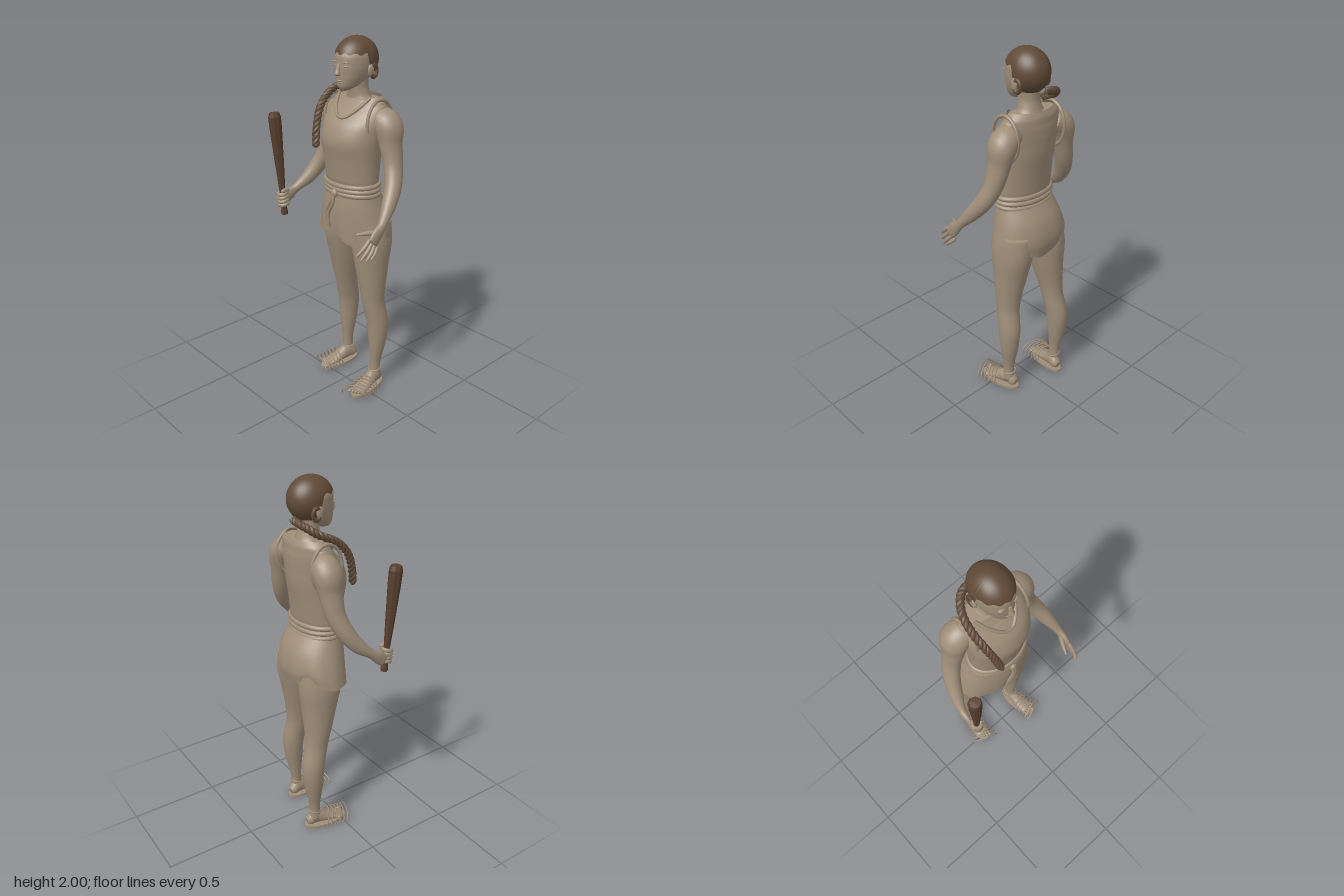
import * as THREE from 'three';

const V = (x, y, z) => new THREE.Vector3(x, y, z);
const mat = (name, color) => {
  const m = new THREE.MeshStandardMaterial({ color, side: THREE.DoubleSide });
  m.name = name;
  return m;
};

// Smooth loft through rows of [x, y, z, radiusA, radiusB].
// level = true keeps every ring horizontal, otherwise rings follow the path.
function loft(rows, { level = false, caps = true, steps = 5, sides = 28, warp = null } = {}) {
  const path = new THREE.CatmullRomCurve3(rows.map(r => V(r[0], r[1], r[2])));
  const size = new THREE.CatmullRomCurve3(rows.map(r => V(r[3], r[4], 0)));
  const n = (rows.length - 1) * steps, pos = [], idx = [];
  for (let i = 0; i <= n; i++) {
    const t = i / n, c = path.getPoint(t), s = size.getPoint(t);
    const T = level ? V(0, 1, 0) : path.getTangent(t);
    const U = V(1, 0, 0).addScaledVector(T, -T.x).normalize(), W = T.clone().cross(U);
    for (let j = 0; j < sides; j++) {
      const a = j / sides * Math.PI * 2;
      const p = c.clone().addScaledVector(U, Math.cos(a) * s.x).addScaledVector(W, Math.sin(a) * s.y);
      if (warp) warp(p, t, a);
      pos.push(p.x, p.y, p.z);
      if (i < n) {
        const k = (j + 1) % sides, b = i * sides;
        idx.push(b + j, b + k, b + sides + j, b + k, b + sides + k, b + sides + j);
      }
    }
  }
  if (caps) [0, n].forEach(i => {
    const c = path.getPoint(i / n), m = pos.length / 3;
    pos.push(c.x, c.y, c.z);
    for (let j = 0; j < sides; j++) {
      const a = i * sides + j, b = i * sides + (j + 1) % sides;
      idx.push(m, i ? a : b, i ? b : a);
    }
  });
  const g = new THREE.BufferGeometry();
  g.setAttribute('position', new THREE.Float32BufferAttribute(pos, 3));
  g.setIndex(idx);
  g.computeVertexNormals();
  return g;
}

const tube = (pts, r, seg = 24) =>
  new THREE.TubeGeometry(new THREE.CatmullRomCurve3(pts.map(p => V(...p))), seg, r, 8);

export function createModel() {
  const model = new THREE.Group();
  const body = mat('warm taupe', 0x9e8d78), brown = mat('hair brown', 0x604a37), wood = mat('dark wood', 0x583f2f);
  const add = (name, geo, m = body, parent = model) => {
    const mesh = new THREE.Mesh(geo, m);
    mesh.name = name;
    parent.add(mesh);
    return mesh;
  };
  const ball = (name, p, s, m = body, parent = model) => {
    const b = add(name, new THREE.SphereGeometry(1, 16, 12), m, parent);
    b.position.set(...p);
    b.scale.set(...s);
    return b;
  };

  // Head, neck and face
  add('head', loft([
    [0, 1.737, 0.006, 0.025, 0.028], [0, 1.757, -0.012, 0.052, 0.058], [0, 1.80, -0.045, 0.079, 0.096],
    [0, 1.85, -0.06, 0.094, 0.112], [0, 1.90, -0.066, 0.097, 0.115], [0, 1.95, -0.07, 0.08, 0.092],
    [0, 1.985, -0.07, 0.045, 0.05]], { level: true }));
  add('neck', loft([
    [0, 1.60, -0.09, 0.15, 0.08], [0, 1.66, -0.095, 0.11, 0.066], [0, 1.70, -0.09, 0.067, 0.058],
    [0, 1.75, -0.082, 0.055, 0.055], [0, 1.80, -0.08, 0.057, 0.06]], { level: true }));
  add('nose', loft([[0, 1.872, 0.046, 0.009, 0.01], [0, 1.84, 0.055, 0.011, 0.013],
    [0, 1.82, 0.06, 0.016, 0.016], [0, 1.811, 0.054, 0.01, 0.01]].reverse(), { level: true, sides: 12 }));
  ball('upperLip', [0, 1.786, 0.043], [0.024, 0.006, 0.012]);
  ball('lowerLip', [0, 1.777, 0.040], [0.020, 0.006, 0.012]);
  for (const s of [1, -1]) {
    ball('eye', [s * 0.037, 1.858, 0.036], [0.014, 0.007, 0.010]);
    ball('brow', [s * 0.038, 1.878, 0.039], [0.022, 0.006, 0.010]);
    ball('ear', [s * 0.098, 1.835, -0.08], [0.011, 0.032, 0.02]);
    const roll = add('hairRoll', new THREE.TorusGeometry(0.022, 0.009, 8, 16), brown);
    roll.position.set(s * 0.098, 1.83, -0.10);
    roll.rotation.y = Math.PI / 2;
    roll.scale.y = 1.35;
  }

  // Hair cap: short ragged fringe in front, long at the back
  const cap = new THREE.SphereGeometry(1, 48, 20, 0, Math.PI * 2, 0, 1);
  const cp = cap.attributes.position;
  for (let i = 0; i < cp.count; i++) {
    const col = i % 49, row = Math.floor(i / 49), az = col / 48 * Math.PI * 2;
    const front = Math.sin(az);
    const edge = THREE.MathUtils.lerp(2.55, 1.27, THREE.MathUtils.smoothstep(front, -0.15, 0.12))
      + (front > 0.1 ? (col % 4 < 2 ? 0.05 : -0.03) : 0);
    const th = row / 20 * edge;
    cp.setXYZ(i, -Math.cos(az) * Math.sin(th) * 0.103, 1.885 + Math.cos(th) * 0.115,
      -0.072 + front * Math.sin(th) * 0.124);
  }
  cap.computeVertexNormals();
  add('hairCap', cap, brown);

  // Braid of three twisted strands over the right shoulder
  const braid = new THREE.CatmullRomCurve3([[-0.02, 1.80, -0.185], [-0.09, 1.785, -0.175], [-0.14, 1.745, -0.12],
    [-0.16, 1.70, -0.03], [-0.15, 1.63, 0.045], [-0.13, 1.54, 0.09], [-0.11, 1.44, 0.115]].map(p => V(...p)));
  for (let k = 0; k < 3; k++) {
    const pts = [];
    for (let i = 0; i <= 90; i++) {
      const t = i / 90, c = braid.getPoint(t), T = braid.getTangent(t);
      const U = V(0, 0, 1).cross(T).normalize(), W = T.clone().cross(U);
      const a = t * Math.PI * 14 + k * Math.PI * 2 / 3;
      pts.push(c.addScaledVector(U, Math.cos(a) * 0.010).addScaledVector(W, Math.sin(a) * 0.010).toArray());
    }
    add('braidStrand', tube(pts, 0.0115, 120), brown);
  }
  ball('braidTip', [-0.11, 1.442, 0.115], [0.016, 0.014, 0.016], brown);

  // Tunic
  add('tunicTop', loft([
    [0, 1.17, -0.045, 0.168, 0.115], [0, 1.25, -0.045, 0.168, 0.115], [0, 1.38, -0.043, 0.174, 0.132],
    [0, 1.48, -0.043, 0.183, 0.147], [0, 1.56, -0.058, 0.187, 0.135], [0, 1.62, -0.083, 0.187, 0.108],
    [0, 1.66, -0.098, 0.178, 0.085], [0, 1.69, -0.1, 0.145, 0.066]], { level: true, sides: 36 }));
  add('collar', loft([[0, 1.64, -0.093, 0.178, 0.1], [0, 1.675, -0.1, 0.168, 0.09],
    [0, 1.705, -0.1, 0.135, 0.078]], {
    level: true, caps: false, sides: 36,
    warp: (p, t, a) => { p.y -= 0.045 * t * Math.max(0, -Math.sin(a)) ** 2; }
  }));
  add('neckline', tube([[-0.115, 1.70, -0.06], [-0.085, 1.66, -0.012], [-0.02, 1.605, 0.04], [0.03, 1.60, 0.042],
    [0.09, 1.655, -0.01], [0.115, 1.70, -0.06]], 0.009));
  for (const s of [1, -1]) {
    const rim = add('armholeRim', new THREE.TorusGeometry(1, 0.09, 8, 36));
    rim.position.set(s * 0.163, 1.575, -0.085);
    rim.rotation.y = Math.PI / 2;
    rim.scale.set(0.09, 0.12, 0.1);
  }
  add('tunicSkirt', loft([
    [-0.012, 0.935, -0.075, 0.236, 0.15], [-0.01, 1.0, -0.08, 0.225, 0.16], [-0.005, 1.1, -0.07, 0.2, 0.152],
    [0, 1.21, -0.045, 0.168, 0.115]], {
    level: true, caps: false, sides: 48,
    warp: (p, t, a) => { // ragged hem and soft folds
      const k = (1 - t) ** 2;
      p.y += k * (0.022 * Math.sin(3 * a + 0.8) - 0.012 * Math.sin(5 * a));
      p.z += k * 0.006 * Math.sin(9 * a);
    }
  }));
  ball('loincloth', [0, 0.95, -0.075], [0.07, 0.075, 0.09]);

  // Rope belt and its hanging ends
  [1.19, 1.216, 1.242].forEach((y, i) => {
    const rope = add('beltRope', new THREE.TorusGeometry(1, 0.085, 10, 56));
    rope.rotation.x = Math.PI / 2 + (i - 1) * 0.03;
    rope.position.set(0, y, -0.045);
    rope.scale.set(0.168, 0.118, 0.16);
  });
  ball('beltKnot', [0, 1.195, 0.085], [0.022, 0.024, 0.016]);
  add('beltEnd', tube([[0.005, 1.2, 0.09], [0, 1.14, 0.098], [-0.03, 1.08, 0.1], [-0.035, 1.0, 0.095]], 0.009));
  add('beltEnd', tube([[-0.005, 1.2, 0.09], [-0.015, 1.15, 0.1], [-0.045, 1.09, 0.1], [-0.05, 1.03, 0.096]], 0.008));

  for (const s of [1, -1]) {
    // Leg, with the right one set back
    const back = y => s > 0 ? 0 : -0.07 * Math.min(1, Math.max(0, (1 - y) / 0.5));
    add(s > 0 ? 'leftLeg' : 'rightLeg', loft([
      [0.155, 0.05, -0.09, 0.031, 0.036], [0.155, 0.13, -0.09, 0.027, 0.032], [0.16, 0.30, -0.1, 0.05, 0.055],
      [0.158, 0.42, -0.1, 0.059, 0.065], [0.145, 0.55, -0.078, 0.06, 0.067], [0.138, 0.64, -0.075, 0.07, 0.077],
      [0.125, 0.78, -0.078, 0.09, 0.1], [0.117, 0.92, -0.085, 0.102, 0.122], [0.105, 1.04, -0.085, 0.1, 0.122]
    ].map(([x, y, z, a, b]) => [s * x, y, z + back(y), a, b]), { level: true }));

    // Foot in a strapped sandal
    const foot = new THREE.Group();
    foot.name = s > 0 ? 'leftFoot' : 'rightFoot';
    foot.position.set(s * 0.15, 0, -0.09 + back(0));
    foot.rotation.y = s * 0.13;
    model.add(foot);
    add('foot', loft([[0, 0.04, -0.048, 0.02, 0.02], [0, 0.045, -0.03, 0.031, 0.033], [0, 0.058, 0.01, 0.033, 0.046],
      [0, 0.046, 0.06, 0.037, 0.035], [0, 0.032, 0.12, 0.043, 0.02], [0, 0.026, 0.16, 0.04, 0.013]]), body, foot);
    for (let i = 0; i < 5; i++)
      ball('toe', [s * (i * 0.018 - 0.034), 0.025, 0.178 - i * 0.007], [0.0105, 0.011, 0.02], body, foot);
    const sole = add('sole', new THREE.CylinderGeometry(1, 1, 0.014, 36), body, foot);
    sole.position.set(0, 0.007, 0.07);
    sole.scale.set(0.052, 1, 0.132);
    for (let i = 0; i < 6; i++) {
      const strap = add('strap', new THREE.TorusGeometry(1, 0.06, 6, 24, Math.PI), body, foot);
      strap.position.set(s * 0.006, 0.012, 0.065 + i * 0.025);
      strap.rotation.set(0.25, s * 0.22, 0);
      strap.scale.set(0.062 + i * 0.004, 0.082 - i * 0.006, 0.07);
    }
    const ankle = add('ankleStrap', new THREE.TorusGeometry(0.036, 0.005, 6, 24), body, foot);
    ankle.position.set(0, 0.105, 0);
    ankle.rotation.x = Math.PI / 2 + 0.2;

    // Arm and palm
    add(s > 0 ? 'leftArm' : 'rightArm', loft([
      [0.13, 1.605, -0.1, 0.06, 0.065], [0.2, 1.565, -0.108, 0.073, 0.078], [0.225, 1.47, -0.105, 0.056, 0.064],
      [0.255, 1.36, -0.095, 0.048, 0.052], [0.29, 1.27, -0.06, 0.044, 0.047], [0.32, 1.19, 0, 0.037, 0.039],
      [0.345, 1.11, 0.07, 0.022, 0.025], [0.35, 1.07, 0.11, 0.018, 0.035], [0.352, 1.03, 0.145, 0.013, 0.034]
    ].map(([x, y, z, a, b]) => s > 0 ? [x, y, z, a, b] : [-x, y + Math.max(0, z) * 0.35, z, a, b])));
  }

  // Left fingers, open
  [[0.335, 0.985, 0.238], [0.35, 0.962, 0.222], [0.36, 0.95, 0.195], [0.364, 0.952, 0.165]].forEach((tip, i) => {
    const base = [0.351, 1.058 - i * 0.017, 0.16 - i * 0.017];
    add('finger', loft([[...base, 0.011, 0.011],
      [(base[0] + tip[0]) / 2 + 0.006, (base[1] + tip[1]) / 2, (base[2] + tip[2]) / 2, 0.0105, 0.0105],
      [...tip, 0.006, 0.006]], { sides: 10 }));
  });
  add('thumb', loft([[0.342, 1.08, 0.095, 0.014, 0.014], [0.315, 1.078, 0.145, 0.012, 0.012],
    [0.289, 1.075, 0.195, 0.006, 0.006]], { sides: 10 }));

  // Eight-sided club and the right fingers around its grip
  const club = new THREE.Group();
  club.name = 'club';
  club.position.set(-0.331, 1.0, 0.166);
  club.rotation.set(0.06, 0, 0.03);
  model.add(club);
  const profile = [[0, 0.005], [0.019, 0.005], [0.02, 0.02], [0.016, 0.04], [0.017, 0.15], [0.025, 0.3],
    [0.034, 0.5], [0.035, 0.565], [0.028, 0.588], [0, 0.59]].map(p => new THREE.Vector2(...p));
  const clubGeo = new THREE.LatheGeometry(profile, 8).toNonIndexed();
  clubGeo.computeVertexNormals();
  add('clubShaft', clubGeo, wood, club);
  for (let i = 0; i < 4; i++) {
    const f = add('grippingFinger', new THREE.TorusGeometry(0.024, 0.0115, 8, 20), body, club);
    f.position.set(0, 0.068 + i * 0.021, 0);
    f.rotation.x = Math.PI / 2 + 0.15;
  }
  ball('grippingThumb', [0.02, 0.148, -0.005], [0.012, 0.014, 0.03], body, club);
  return model;
}
